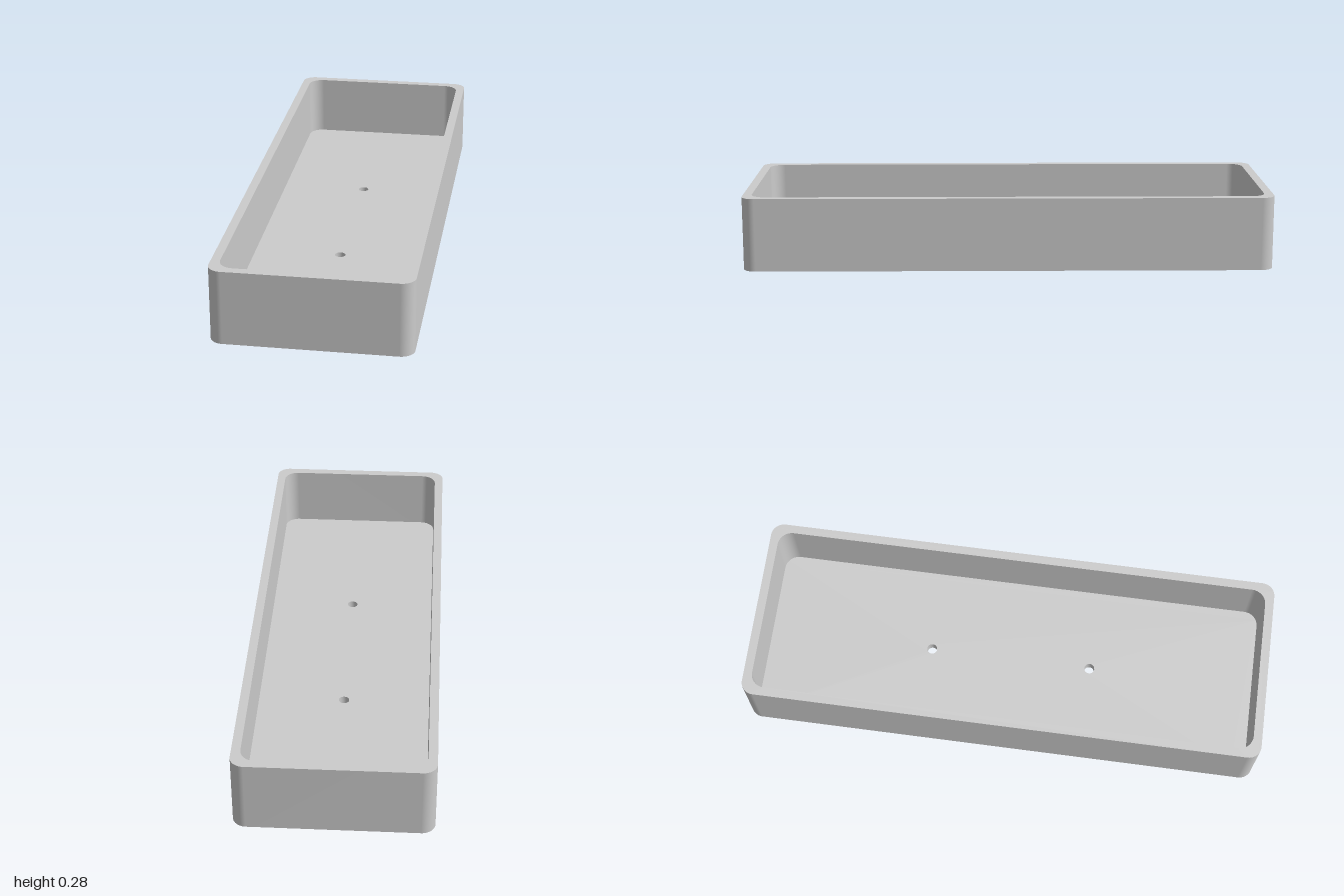
import * as THREE from 'three';

const HEIGHT = 0.278, FLOOR = 0.04;
const HOLE_RADIUS = 0.02, HOLE_Z = [-0.318, 0.318];

// Counter-clockwise rounded rectangle, given half sizes and corner radius
function roundedRect(hx, hz, r) {
  const s = new THREE.Shape();
  const corners = [[1, 1], [-1, 1], [-1, -1], [1, -1]];
  corners.forEach(([sx, sz], i) =>
    s.absarc(sx * (hx - r), sz * (hz - r), r, i * Math.PI / 2, (i + 1) * Math.PI / 2, false));
  return s.closePath();
}

function drainHole(z) {
  return new THREE.Shape().absarc(0, z, HOLE_RADIUS, 0, Math.PI * 2, false);
}

// Smooth vertical band along a closed outline, facing outward or inward
function band(shape, y0, y1, inward = false) {
  const pts = shape.getPoints(12);
  if (pts[0].distanceTo(pts[pts.length - 1]) < 1e-5) pts.pop();
  const pos = [], index = [];
  pts.forEach((p, i) => {
    pos.push(p.x, y0, -p.y, p.x, y1, -p.y);
    const a = 2 * i, b = 2 * ((i + 1) % pts.length);
    if (inward) index.push(a, b + 1, b, a, a + 1, b + 1);
    else index.push(a, b, b + 1, a, b + 1, a + 1);
  });
  const g = new THREE.BufferGeometry();
  g.setAttribute('position', new THREE.Float32BufferAttribute(pos, 3));
  g.setIndex(index);
  g.computeVertexNormals();
  return g;
}

// Flat horizontal face with holes, facing up or down
function plate(outline, holes, y, down = false) {
  const s = outline.clone();
  s.holes = holes;
  return new THREE.ShapeGeometry(s, 12).rotateX(down ? Math.PI / 2 : -Math.PI / 2).translate(0, y, 0);
}

export function createModel() {
  const group = new THREE.Group();
  group.name = 'tray';
  const material = new THREE.MeshStandardMaterial({ color: 0xcccccc });
  const add = (name, geometry) => {
    const mesh = new THREE.Mesh(geometry, material);
    mesh.name = name;
    group.add(mesh);
  };

  const outer = roundedRect(0.359, 1, 0.05);
  const inner = roundedRect(0.326, 0.967, 0.055);
  const holes = HOLE_Z.map(drainHole);

  // Walls and rim
  add('outerWall', band(outer, 0, HEIGHT));
  add('innerWall', band(inner, FLOOR, HEIGHT, true));
  add('rim', plate(outer, [inner], HEIGHT));

  // Floor, pierced by two drain holes
  add('floor', plate(inner, holes, FLOOR));
  add('underside', plate(outer, holes, 0, true));
  holes.forEach((hole) => add('drainHole', band(hole, 0, FLOOR, true)));

  return group;
}
